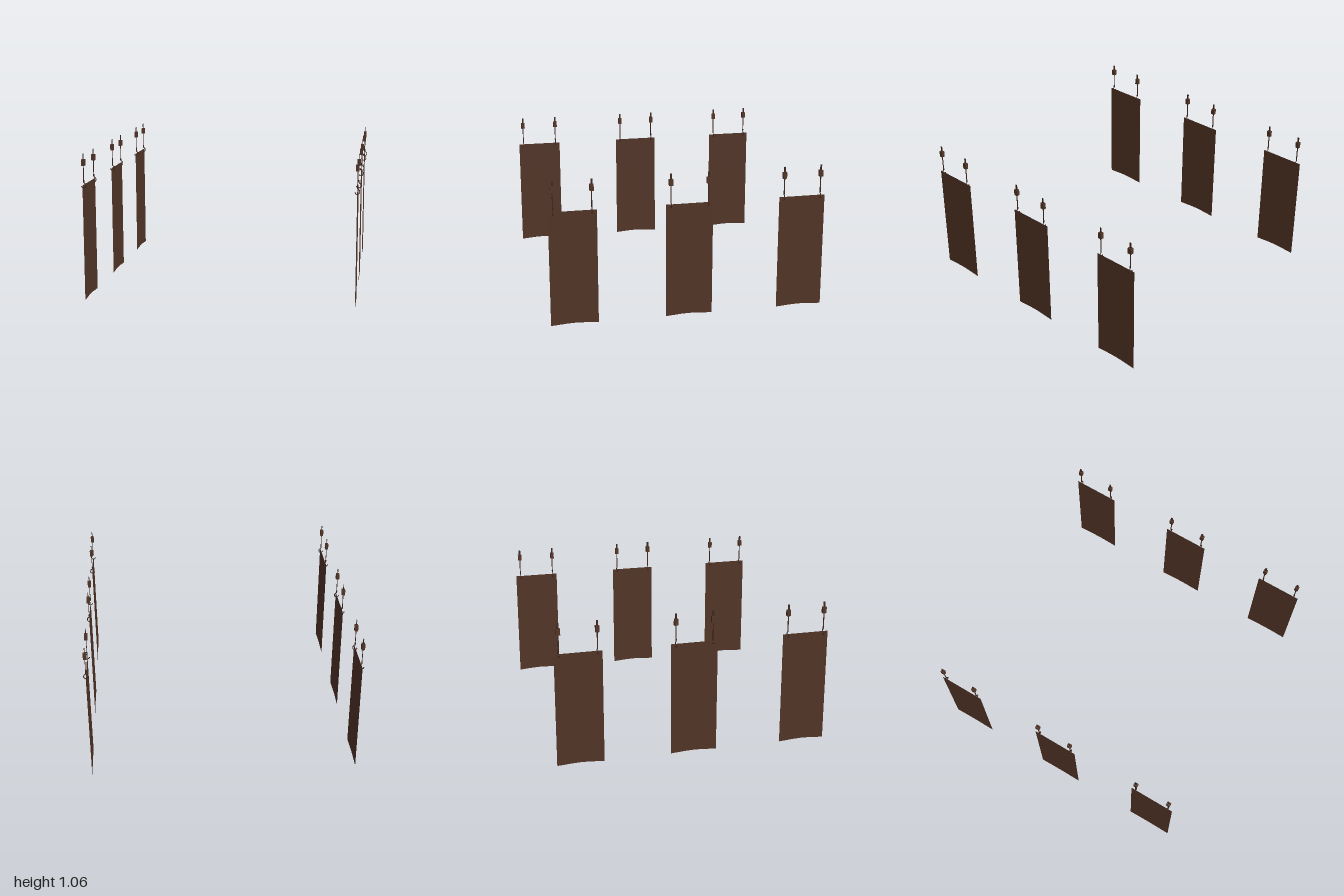
import * as THREE from 'three';

const brown = new THREE.MeshStandardMaterial({ color: 0x533527, side: THREE.DoubleSide });
const dark = new THREE.MeshStandardMaterial({ color: 0x3f271d, side: THREE.DoubleSide });

const PANEL_X = 0.968, PITCH = 0.827, HALF_WIDTH = 0.17, PANEL_TOP = 0.838;

function add(parent, name, geometry, material, x = 0, y = 0, z = 0) {
  const mesh = new THREE.Mesh(geometry, material);
  mesh.name = name;
  mesh.position.set(x, y, z);
  parent.add(mesh);
  return mesh;
}

// Thin cloth sheet with a slightly arched lower hem
function panelGeometry() {
  const s = new THREE.Shape();
  s.moveTo(-HALF_WIDTH, PANEL_TOP);
  s.lineTo(-HALF_WIDTH, 0);
  for (const [z, y] of [[-0.125, 0.003], [-0.06, 0.008], [0, 0.01], [0.06, 0.008], [0.125, 0.003]]) s.lineTo(z, y);
  s.lineTo(HALF_WIDTH, 0);
  s.lineTo(HALF_WIDTH, PANEL_TOP);
  return new THREE.ShapeGeometry(s).rotateY(Math.PI / 2);
}

// Open hook curling under the sheet's top edge
function hookGeometry() {
  const points = [[0, 0.87], [0, 0.856], [0.012, 0.845], [0.016, 0.832], [0.011, 0.82],
    [0, 0.815], [-0.011, 0.819], [-0.017, 0.829]].map(([x, y]) => new THREE.Vector3(x, y, 0));
  return new THREE.TubeGeometry(new THREE.CatmullRomCurve3(points), 20, 0.0035, 6);
}

function createHanger() {
  const hanger = new THREE.Group();
  hanger.name = 'hanger';
  add(hanger, 'hook', hookGeometry(), dark);
  add(hanger, 'hookCollar', new THREE.CylinderGeometry(0.005, 0.005, 0.014, 6), dark, 0, 0.865);
  add(hanger, 'rod', new THREE.BoxGeometry(0.004, 0.11, 0.007), dark, 0, 0.922);
  add(hanger, 'block', new THREE.BoxGeometry(0.024, 0.045, 0.028), brown, 0, 0.998);
  add(hanger, 'topStrap', new THREE.BoxGeometry(0.004, 0.042, 0.013), dark, 0, 1.039);
  return hanger;
}

export function createModel() {
  const model = new THREE.Group();
  model.name = 'hangingPanels';
  const sheet = panelGeometry();

  // Two rows of three panels, each on a pair of hangers
  for (const x of [-PANEL_X, PANEL_X]) {
    for (const row of [-1, 0, 1]) {
      const unit = new THREE.Group();
      unit.name = 'hangingPanel';
      unit.position.set(x, 0, row * PITCH);
      add(unit, 'panel', sheet, brown);
      for (const z of [-0.135, 0.135]) {
        const hanger = createHanger();
        hanger.position.z = z;
        unit.add(hanger);
      }
      model.add(unit);
    }
  }
  return model;
}
